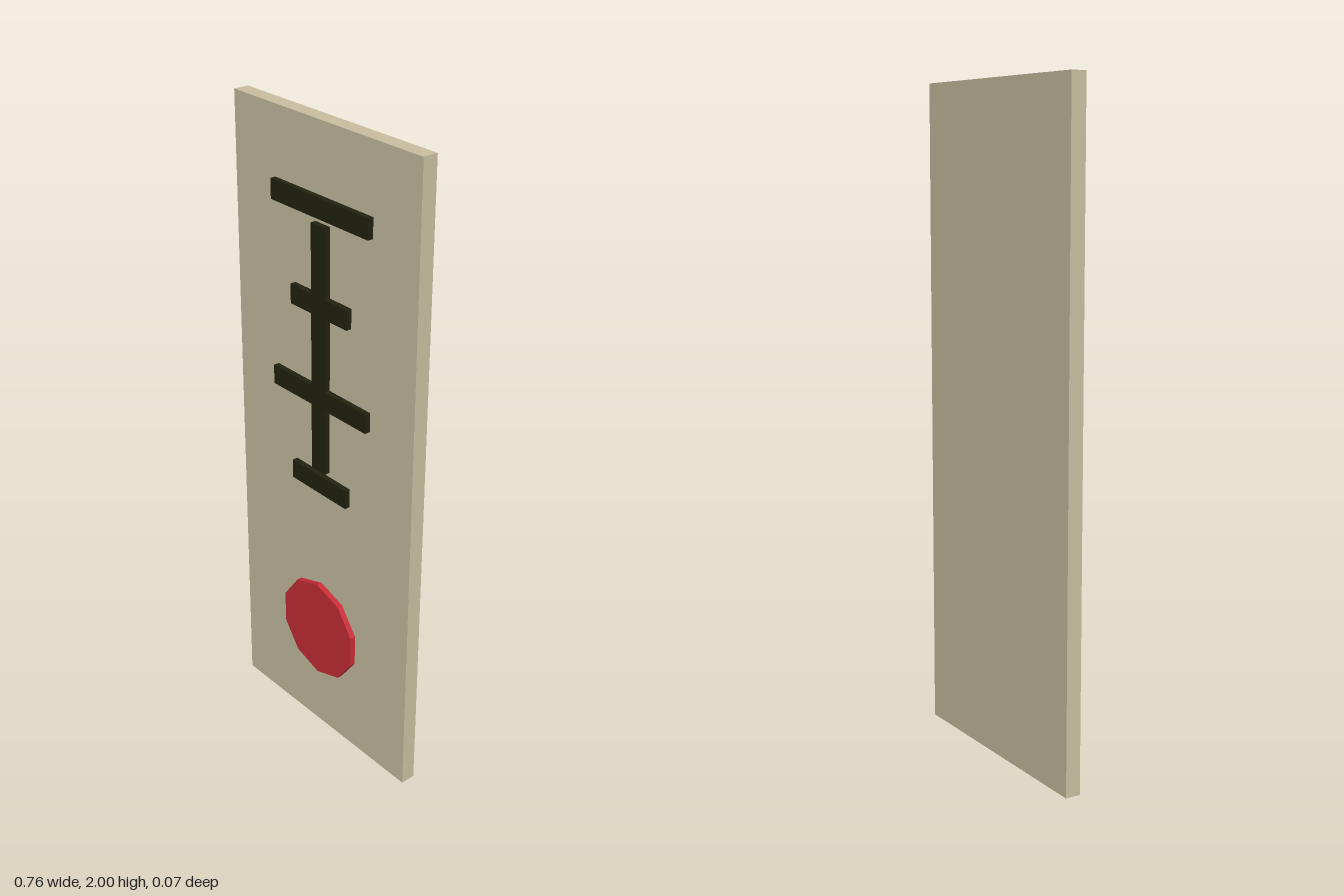
import * as THREE from 'three';

export function createModel() {
  const group = new THREE.Group();
  const mat = (name, color) => {
    const m = new THREE.MeshStandardMaterial({ color });
    m.name = name;
    return m;
  };
  const parchment = mat('parchment', 0xc9bfa1);
  const ink = mat('ink', 0x222210);
  const red = mat('sealRed', 0xc92c36);

  // Box given by centre x = 0, its y range and z range
  const slab = (name, width, y0, y1, z0, z1, material) => {
    const mesh = new THREE.Mesh(new THREE.BoxGeometry(width, y1 - y0, z1 - z0), material);
    mesh.position.set(0, (y0 + y1) / 2, (z0 + z1) / 2);
    mesh.name = name;
    group.add(mesh);
  };

  // Backing panel
  slab('panel', 0.76, 0, 2, -0.036, 0.011, parchment);

  // Raised brush strokes: one upright and four crossbars
  slab('uprightStroke', 0.06, 0.955, 1.717, 0.011, 0.0285, ink);
  [[0.405, 1.765], [0.24, 1.48], [0.405, 1.195], [0.24, 0.91]].forEach(([width, y], i) =>
    slab(`crossStroke${i + 1}`, width, y - 0.03, y + 0.03, 0.011, 0.0285, ink));

  // Ten-sided seal with a corner pointing up, just clear of the panel
  const seal = new THREE.CylinderGeometry(0.166, 0.166, 0.018, 10).toNonIndexed();
  seal.computeVertexNormals();
  seal.rotateX(Math.PI / 2);
  const sealMesh = new THREE.Mesh(seal, red);
  sealMesh.position.set(0, 0.384, 0.026);
  sealMesh.name = 'seal';
  group.add(sealMesh);

  return group;
}
